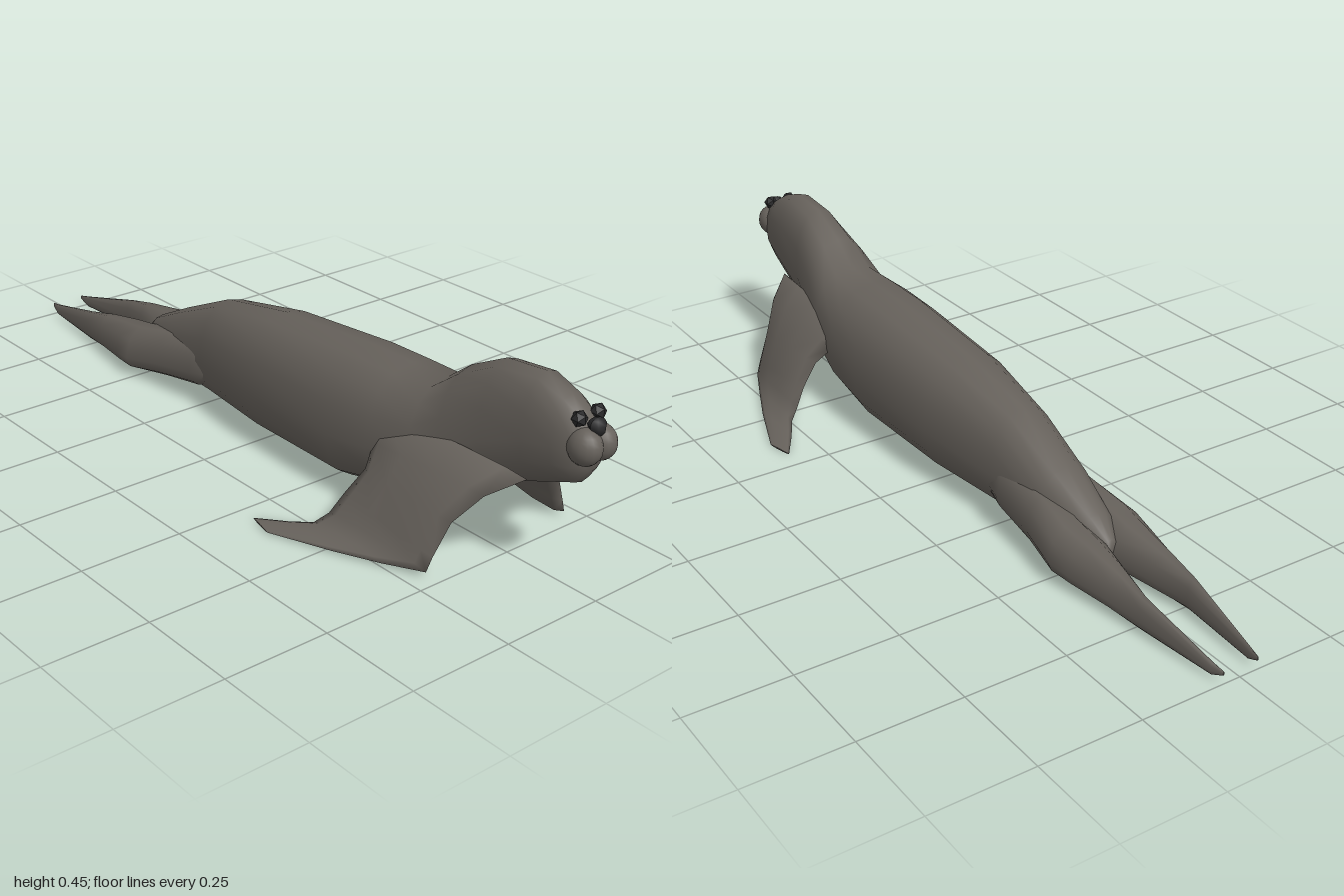
import * as THREE from 'three';

// Skin a list of rings (arrays of Vector3) and close both ends
function loft(rings, flip = false) {
  const n = rings[0].length, pos = [], idx = [];
  const tri = (a, b, c) => (flip ? idx.push(a, c, b) : idx.push(a, b, c));
  rings.forEach(r => r.forEach(p => pos.push(p.x, p.y, p.z)));
  for (let i = 0; i < rings.length - 1; i++) {
    for (let j = 0; j < n; j++) {
      const a = i * n + j, b = i * n + (j + 1) % n;
      tri(a, a + n, b);
      tri(b, a + n, b + n);
    }
  }
  [0, rings.length - 1].forEach(i => {
    const c = new THREE.Vector3();
    rings[i].forEach(p => c.addScaledVector(p, 1 / n));
    const ci = pos.length / 3;
    pos.push(c.x, c.y, c.z);
    for (let j = 0; j < n; j++) {
      const a = i * n + j, b = i * n + (j + 1) % n;
      if (i === 0) tri(ci, a, b); else tri(ci, b, a);
    }
  });
  const g = new THREE.BufferGeometry();
  g.setAttribute('position', new THREE.Float32BufferAttribute(pos, 3));
  g.setIndex(idx);
  g.computeVertexNormals();
  return g;
}

const soft = (v, p) => Math.sign(v) * Math.abs(v) ** p;

// Upright ring at depth z: sides x0..x1, heights bottom..top, widest at a share of the height
function uprightRing(z, x0, x1, bottom, top, widest, power, n) {
  const mid = bottom + (top - bottom) * widest;
  return Array.from({ length: n }, (_, j) => {
    const a = j / n * Math.PI * 2, s = soft(Math.sin(a), power);
    return new THREE.Vector3(
      (x0 + x1) / 2 + (x1 - x0) / 2 * soft(Math.cos(a), power),
      mid + s * (s > 0 ? top - mid : mid - bottom), z);
  });
}

export function createModel() {
  const group = new THREE.Group();
  const fur = new THREE.MeshStandardMaterial({ color: 0x66615b });
  fur.name = 'grey brown fur';
  const dark = new THREE.MeshStandardMaterial({ color: 0x2a2a2b });
  dark.name = 'near black';
  const add = (name, geometry, material) => {
    const m = new THREE.Mesh(geometry, material);
    m.name = name;
    group.add(m);
    return m;
  };

  // Head, neck and trunk: z, top, bottom, half width, widest share
  const trunk = [
    [0.965, 0.375, 0.285, 0.03, 0.5],
    [0.94, 0.405, 0.25, 0.047, 0.5],
    [0.9, 0.43, 0.235, 0.058, 0.5],
    [0.83, 0.455, 0.208, 0.067, 0.45],
    [0.72, 0.445, 0.165, 0.075, 0.4],
    [0.62, 0.395, 0.12, 0.097, 0.38],
    [0.55, 0.342, 0.092, 0.115, 0.4],
    [0.44, 0.338, 0.05, 0.135, 0.42],
    [0.31, 0.337, 0.018, 0.137, 0.42],
    [0, 0.315, 0.015, 0.125, 0.43],
    [-0.23, 0.275, 0.022, 0.092, 0.42],
    [-0.4, 0.2, 0.03, 0.075, 0.4],
    [-0.52, 0.142, 0.022, 0.05, 0.4],
    [-0.57, 0.1, 0.03, 0.02, 0.4],
  ];
  add('body', loft(trunk.map(([z, t, b, w, k]) => uprightRing(z, -w, w, b, t, k, 0.88, 16))), fur);

  // Front flipper: leading point, trailing point, half thickness, thickness direction (x, y)
  const arm = [
    [[0.05, 0.23, 0.84], [0.06, 0.22, 0.4], 0.05, [0.7, 0.7]],
    [[0.115, 0.19, 0.785], [0.12, 0.18, 0.45], 0.036, [0.75, 0.65]],
    [[0.16, 0.125, 0.74], [0.16, 0.14, 0.47], 0.028, [0.85, 0.5]],
    [[0.195, 0.05, 0.725], [0.205, 0.09, 0.455], 0.02, [0.85, 0.5]],
    [[0.208, 0.016, 0.72], [0.235, 0.045, 0.44], 0.02, [0.5, 0.85]],
    [[0.25, 0.01, 0.625], [0.262, 0.022, 0.42], 0.012, [0.25, 0.95]],
    [[0.295, 0.008, 0.52], [0.29, 0.012, 0.37], 0.008, [0.2, 0.95]],
    [[0.35, 0.005, 0.37], [0.335, 0.006, 0.3], 0.003, [0, 1]],
  ];
  // Hind flipper: z, inner x, outer x, bottom, top
  const hind = [
    [-0.2, 0.03, 0.085, 0.07, 0.16],
    [-0.27, 0.01, 0.098, 0.045, 0.17],
    [-0.4, 0, 0.107, 0.025, 0.155],
    [-0.51, 0, 0.127, 0.01, 0.135],
    [-0.57, 0.003, 0.118, 0.008, 0.125],
    [-0.68, 0.028, 0.097, 0.008, 0.108],
    [-0.77, 0.049, 0.083, 0.008, 0.088],
    [-0.97, 0.043, 0.055, 0.01, 0.04],
    [-1, 0.043, 0.048, 0.024, 0.034],
  ];

  for (const side of [1, -1]) {
    const label = side > 0 ? 'left' : 'right';
    const armRings = arm.map(([f, b, t, [nx, ny]]) => Array.from({ length: 10 }, (_, j) => {
      const a = j / 10 * Math.PI * 2, u = (1 + Math.cos(a)) / 2, v = Math.sin(a) * t;
      return new THREE.Vector3(
        side * (b[0] + (f[0] - b[0]) * u + v * nx),
        Math.max(0.002, b[1] + (f[1] - b[1]) * u + v * ny),
        b[2] + (f[2] - b[2]) * u);
    }));
    add(label + 'FrontFlipper', loft(armRings, side < 0), fur);

    const hindRings = hind.map(([z, i, o, b, t]) => {
      const ring = uprightRing(z, i, o, b, t, 0.35, 1, 10);
      ring.forEach(p => { p.x *= side; });
      return ring;
    });
    add(label + 'HindFlipper', loft(hindRings, side < 0), fur);

    // Muzzle cheek and eye
    const cheek = add(label + 'MuzzleCheek', new THREE.SphereGeometry(0.04, 16, 12), fur);
    cheek.scale.x = 0.85;
    cheek.position.set(side * 0.021, 0.342, 0.958);
    const eye = add(label + 'Eye', new THREE.IcosahedronGeometry(0.018, 0), dark);
    eye.position.set(side * 0.027, 0.4, 0.945);
  }

  // Nose: wide on top and tapering to a point below
  const nose = new THREE.SphereGeometry(0.02, 7, 5);
  const p = nose.attributes.position;
  for (let i = 0; i < p.count; i++) p.setX(i, p.getX(i) * (1 + p.getY(i) * 18));
  nose.computeVertexNormals();
  add('nose', nose, dark).position.set(0, 0.383, 0.968);

  return group;
}
